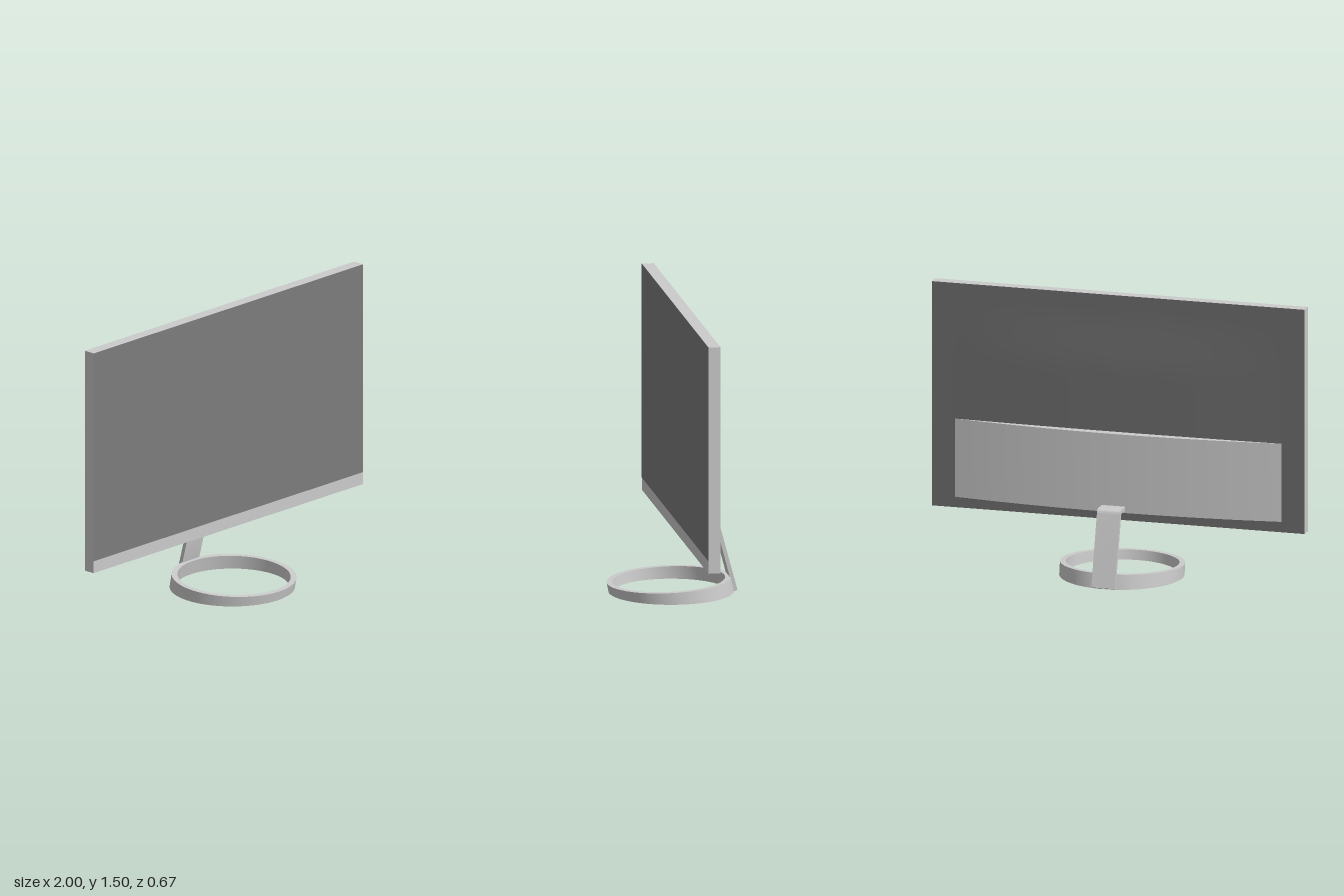
import * as THREE from 'three';
import { toCreasedNormals } from 'three/addons/utils/BufferGeometryUtils.js';

const grey = new THREE.MeshStandardMaterial({ color: 0xcccccc });
const dark = new THREE.MeshStandardMaterial({ color: 0x7c7c7c });
const backDark = new THREE.MeshStandardMaterial({ color: 0x6e6e6e });

const BOTTOM = 0.31, TOP = 1.5, FRONT = -0.022, BACK = -0.085;
const STAND_X = 0.006;

export function createModel() {
  const group = new THREE.Group();
  const add = (name, geometry, material = grey) => {
    const mesh = new THREE.Mesh(geometry, material);
    mesh.name = name;
    group.add(mesh);
    return mesh;
  };

  // Flat panel housing
  add('panel', new THREE.BoxGeometry(2, TOP - BOTTOM, FRONT - BACK - 0.001))
    .position.set(0, (TOP + BOTTOM) / 2, (FRONT + BACK) / 2);

  // Dark display above the lower bezel
  const screenBottom = 0.375;
  add('screen', new THREE.PlaneGeometry(2, TOP - screenBottom), dark)
    .position.set(0, (TOP + screenBottom) / 2, FRONT + 0.0005);

  // Back shell with a shallow swelling that fades toward the sides and top
  const shell = new THREE.PlaneGeometry(2, TOP - BOTTOM, 48, 40);
  shell.rotateY(Math.PI);
  shell.translate(0, (TOP + BOTTOM) / 2, BACK);
  const sp = shell.attributes.position;
  for (let i = 0; i < sp.count; i++) {
    const across = Math.max(0, 1 - (sp.getX(i) / 0.87) ** 2);
    const up = 1 - THREE.MathUtils.smoothstep(sp.getY(i), 1.08, 1.43);
    const low = THREE.MathUtils.smoothstep(sp.getY(i), 0.36, 0.45);
    sp.setZ(i, BACK - 0.016 * across * up * low);
  }
  shell.computeVertexNormals();
  add('backShell', shell, backDark);

  // Bowed rear housing: a circular segment extruded upward
  const half = 0.875, sag = 0.063;
  const radius = (half * half + sag * sag) / (2 * sag);
  const angle = Math.asin(half / radius);
  const bow = new THREE.Shape();
  bow.absarc(0, sag - radius, radius, Math.PI / 2 - angle, Math.PI / 2 + angle, false);
  bow.closePath();
  const housing = new THREE.ExtrudeGeometry(bow, { depth: 0.415, bevelEnabled: false, curveSegments: 32 });
  housing.rotateX(-Math.PI / 2);
  add('rearHousing', toCreasedNormals(housing, 0.5)).position.set(0, 0.365, BACK);

  // Bent strap arm, drawn as a side profile (z, y) and extruded across x
  const arm = new THREE.Shape();
  arm.moveTo(-0.13, 0.399);
  arm.lineTo(-0.212, 0.399);
  arm.quadraticCurveTo(-0.23, 0.398, -0.236, 0.377);
  arm.lineTo(-0.335, 0.008);
  arm.lineTo(-0.315, 0);
  arm.lineTo(-0.219, 0.366);
  arm.quadraticCurveTo(-0.221, 0.378, -0.209, 0.378);
  arm.lineTo(-0.13, 0.378);
  const armGeo = new THREE.ExtrudeGeometry(arm, { depth: 0.125, bevelEnabled: false, curveSegments: 8 });
  armGeo.translate(0, 0, -0.0625);
  armGeo.rotateY(-Math.PI / 2);
  armGeo.scale(1, 1, 1);
  add('standArm', toCreasedNormals(armGeo, 0.6)).position.x = STAND_X;

  // Ring foot: flat below, sloped top, leaning slightly forward
  const ring = new THREE.Shape().absarc(0, 0, 0.322, 0, Math.PI * 2, false);
  ring.holes.push(new THREE.Path().absarc(0, 0, 0.292, 0, Math.PI * 2, true));
  const foot = new THREE.ExtrudeGeometry(ring, { depth: 1, bevelEnabled: false, curveSegments: 72 });
  foot.rotateX(-Math.PI / 2);
  const fp = foot.attributes.position;
  for (let i = 0; i < fp.count; i++) {
    const z = fp.getZ(i);
    const y = fp.getY(i) * (0.0635 - 0.042 * z);
    fp.setY(i, y);
    fp.setZ(i, z + 0.2 * y);
  }
  add('ringFoot', toCreasedNormals(foot, 0.5)).position.x = STAND_X;

  return group;
}
